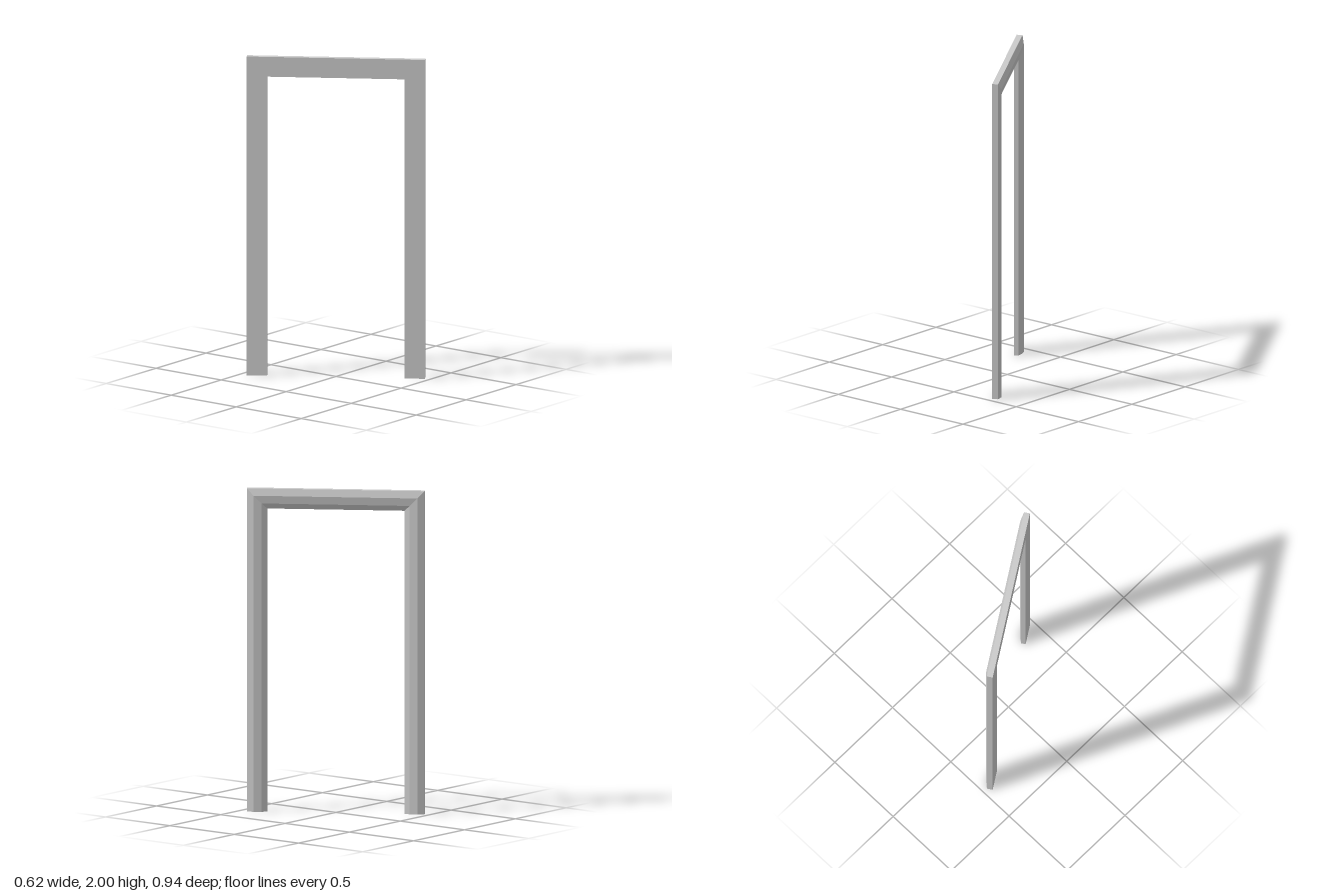
import * as THREE from 'three';

const SPAN = 1.09, HEIGHT = 2;

// Moulding profile: [distance in from the outer edge, thickness]
const PROFILE = [[0, 0], [0, 0.036], [0.043, 0.05], [0.091, 0.043], [0.124, 0.028], [0.124, 0]];

// Cross-sections at the two feet and the two mitred corners
const STATIONS = [[-1, false], [-1, true], [1, true], [1, false]].map(([side, top]) =>
  PROFILE.map(([u, t]) => new THREE.Vector3(side * (SPAN / 2 - u), top ? HEIGHT - u : 0, -t)));

// One straight length of moulding between neighbouring cross-sections
function moulding(name, from, to, material) {
  const points = [];
  const n = from.length;
  for (let i = 0; i < n; i++) {
    const j = (i + 1) % n;
    points.push(from[i], to[i], to[j], from[i], to[j], from[j]);
  }
  // Close the foot; the mitred ends meet and stay open
  for (let i = 1; i < n - 1; i++) {
    if (from[0].y === 0) points.push(from[0], from[i], from[i + 1]);
    if (to[0].y === 0) points.push(to[0], to[i + 1], to[i]);
  }
  const geometry = new THREE.BufferGeometry().setFromPoints(points);
  geometry.computeVertexNormals();
  const mesh = new THREE.Mesh(geometry, material);
  mesh.name = name;
  return mesh;
}

export function createModel() {
  const model = new THREE.Group();
  model.name = 'doorCasing';
  const material = new THREE.MeshStandardMaterial({ color: 0xcccccc, flatShading: true });

  // Casing: two jambs and a head, turned about the vertical
  const casing = new THREE.Group();
  casing.name = 'casing';
  ['rightJamb', 'head', 'leftJamb'].forEach((name, i) =>
    casing.add(moulding(name, STATIONS[i], STATIONS[i + 1], material)));
  casing.rotation.y = -1;
  casing.position.set(-0.015, 0, 0.009);
  model.add(casing);
  return model;
}
